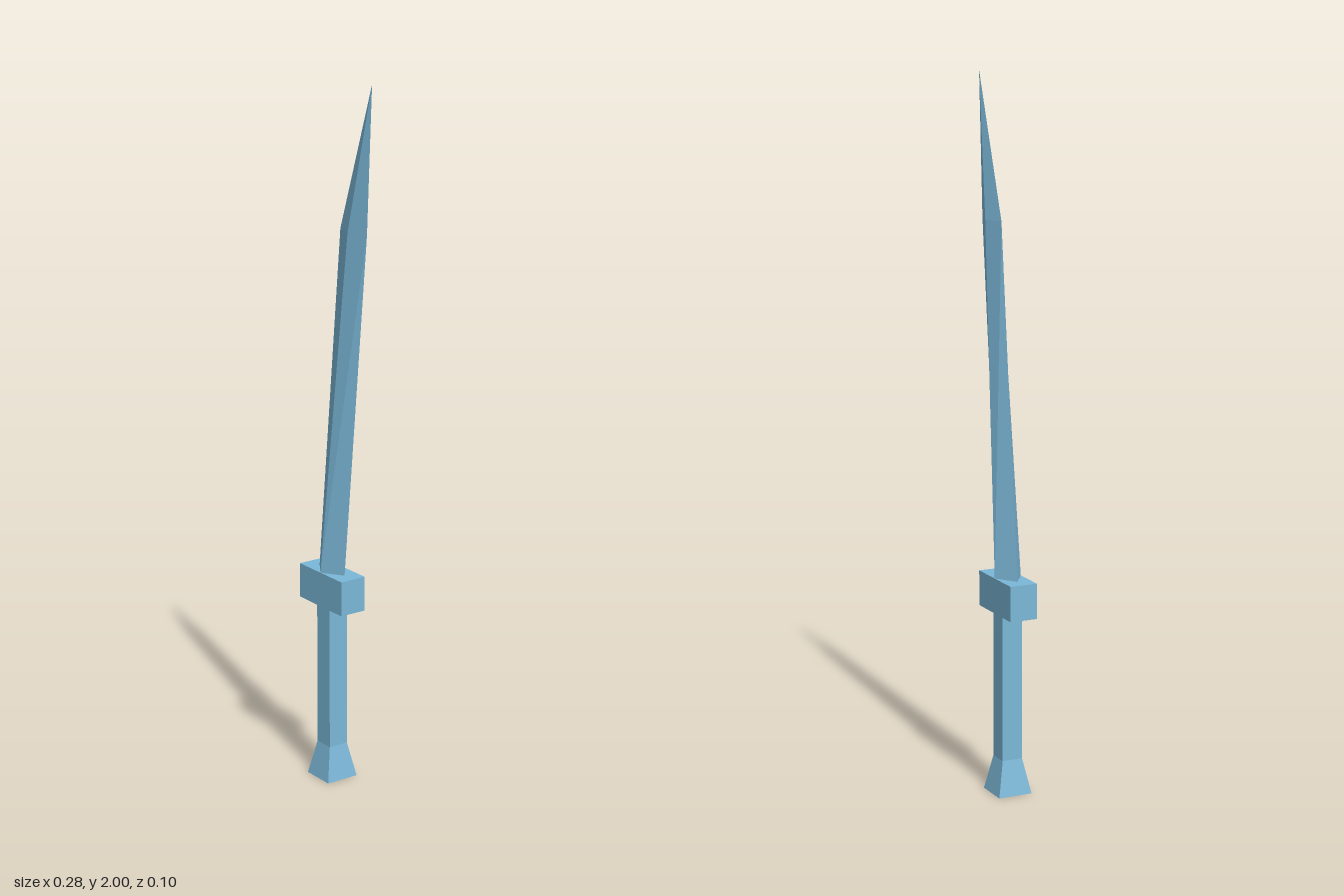
import * as THREE from 'three';

const steel = new THREE.MeshStandardMaterial({ color: 0x7bb8d8 });
steel.name = 'paleBlueSteel';

// Flat-faced skin over four-cornered sections, listed from bottom to top.
function loft(name, sections) {
  const pos = [];
  const tri = (...pts) => pts.forEach((p) => pos.push(...p));
  const cap = (r) => { tri(r[0], r[1], r[2]); tri(r[0], r[2], r[3]); };
  for (let s = 0; s < sections.length - 1; s++) {
    const lo = sections[s], hi = sections[s + 1];
    for (let i = 0; i < 4; i++) {
      const j = (i + 1) % 4;
      tri(lo[i], lo[j], hi[j]);
      if (hi[i] !== hi[j]) tri(lo[i], hi[j], hi[i]);
    }
  }
  cap([...sections[0]].reverse());
  const top = sections[sections.length - 1];
  if (top[0] !== top[1]) cap(top);
  const geo = new THREE.BufferGeometry();
  geo.setAttribute('position', new THREE.Float32BufferAttribute(pos, 3));
  geo.computeVertexNormals();
  const mesh = new THREE.Mesh(geo, steel);
  mesh.name = name;
  return mesh;
}

// Section shapes: square for the hilt, diamond for the blade, point for the tip.
const square = (x, y, h) =>
  [[x - h, y, h], [x + h, y, h], [x + h, y, -h], [x - h, y, -h]];
const diamond = (x, y, w, d) =>
  [[x - w, y, 0], [x, y, d], [x + w, y, 0], [x, y, -d]];
const point = (...p) => Array(4).fill(p);

export function createModel() {
  const sword = new THREE.Group();
  sword.name = 'sword';
  const axis = -0.04;

  // Flared pommel and square grip
  sword.add(loft('pommel', [square(axis, 0, 0.05), square(axis, 0.1, 0.03)]));
  sword.add(loft('grip', [square(axis, 0.1, 0.03), square(axis, 0.52, 0.03)]));

  // Crossguard block
  const guard = new THREE.Mesh(new THREE.BoxGeometry(0.2, 0.1, 0.08), steel);
  guard.name = 'crossguard';
  guard.position.set(axis, 0.57, 0);
  sword.add(guard);

  // Leaning, tapering blade with a central ridge on both faces
  sword.add(loft('blade', [
    diamond(axis, 0.62, 0.06, 0.04),
    diamond(0.06, 1.6, 0.06, 0.02),
    point(0.14, 2, 0),
  ]));
  return sword;
}
